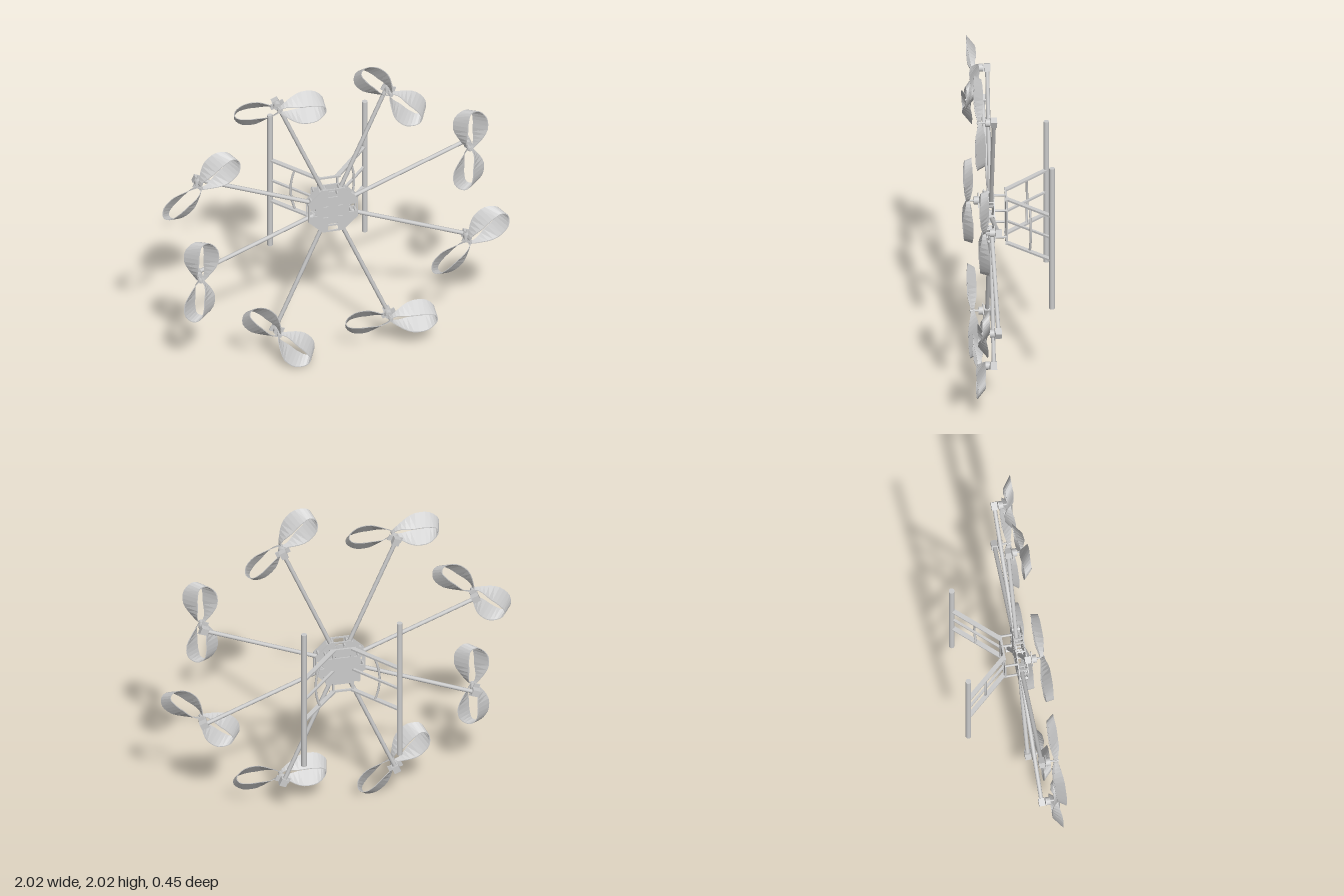
import * as THREE from 'three';

const grey = new THREE.MeshStandardMaterial({ color: 0xcccccc, side: THREE.DoubleSide });
const flat = new THREE.MeshStandardMaterial({ color: 0xcccccc, side: THREE.DoubleSide, flatShading: true });

function add(parent, name, geo, x = 0, y = 0, z = 0, mat = flat) {
  const m = new THREE.Mesh(geo, mat);
  m.name = name;
  m.position.set(x, y, z);
  parent.add(m);
  return m;
}
const box = (w, h, d) => new THREE.BoxGeometry(w, h, d);
const cyl = (r, len, n = 16) => new THREE.CylinderGeometry(r, r, len, n);
// cylinder whose axis runs along z
const cylZ = (r, len, n = 16) => cyl(r, len, n).rotateX(Math.PI / 2);

// Octagonal plate with rectangular windows
function plateGeometry(depth) {
  const R = 0.145 / Math.cos(Math.PI / 8), shape = new THREE.Shape();
  for (let i = 0; i < 8; i++) {
    const a = Math.PI / 8 + i * Math.PI / 4;
    shape[i ? 'lineTo' : 'moveTo'](R * Math.cos(a), R * Math.sin(a));
  }
  const hole = (x, y, w, h) => {
    const p = new THREE.Path();
    p.moveTo(x - w / 2, y - h / 2);
    p.lineTo(x - w / 2, y + h / 2);
    p.lineTo(x + w / 2, y + h / 2);
    p.lineTo(x + w / 2, y - h / 2);
    shape.holes.push(p);
  };
  for (const s of [-1, 1]) {
    hole(0, s * 0.113, 0.058, 0.045);
    hole(s * 0.113, 0, 0.045, 0.055);
    for (const t of [-1, 1]) hole(s * 0.042, t * 0.037, 0.03, 0.018);
  }
  return new THREE.ExtrudeGeometry(shape, { depth, bevelEnabled: false });
}

// Ribbon loop of one propeller blade, reaching along +x from the hub
function bladeGeometry() {
  const N = 28, pos = [], idx = [], L = 0.262;
  for (let i = 0; i <= N; i++) {
    const t = (i / N) * Math.PI * 2;
    const k = (1 - Math.cos(t)) / 2;
    const skew = 0.004 + 0.032 * THREE.MathUtils.smoothstep(k, 0, 0.55) * (1 - 0.35 * THREE.MathUtils.smoothstep(k, 0.75, 1));
    const halfZ = 0.01 + 0.016 * THREE.MathUtils.smoothstep(k, 0, 0.4) - 0.005 * THREE.MathUtils.smoothstep(k, 0.75, 1);
    const width = 0.068 * Math.sin(t) * (0.62 + 0.42 * k);
    // four corners: outer front, outer back, inner back, inner front
    for (const [e, d] of [[-1, 1], [1, 1], [1, -1], [-1, -1]]) {
      const th = d * 0.0025;
      pos.push(L * k - 0.006 * e * k - th * Math.cos(t), width + e * skew + th * Math.sin(t), -e * halfZ);
    }
  }
  for (let i = 0; i < N; i++) for (let j = 0; j < 4; j++) {
    const a = i * 4 + j, b = i * 4 + (j + 1) % 4;
    idx.push(a, b, a + 4, b, b + 4, a + 4);
  }
  const g = new THREE.BufferGeometry();
  g.setAttribute('position', new THREE.Float32BufferAttribute(pos, 3));
  g.setIndex(idx);
  g.computeVertexNormals();
  return g;
}

export function createModel() {
  const model = new THREE.Group();
  model.name = 'multirotor';
  const body = new THREE.Group();
  body.name = 'body';
  body.position.y = 1;
  model.add(body);

  // Hub plates
  const plate = plateGeometry(0.006);
  add(body, 'topPlate', plate, 0, 0, 0.15);
  add(body, 'bottomPlate', plate, 0, 0, 0.098);

  // Eight arms, each with clamp, motor and propeller
  const blade = bladeGeometry(), R = 0.845;
  for (let i = 0; i < 8; i++) {
    const arm = new THREE.Group();
    arm.name = 'arm';
    arm.rotation.z = Math.PI / 8 + i * Math.PI / 4;
    body.add(arm);
    add(arm, 'armTube', cyl(0.012, 0.755, 12).rotateZ(Math.PI / 2), 0.4775, 0, 0.117, grey);
    for (const r of [0.108, 0.14]) {
      for (const s of [-1, 1]) add(arm, 'armClamp', box(0.012, 0.009, 0.046), r, s * 0.016, 0.127);
      add(arm, 'clampBridge', box(0.012, 0.04, 0.008), r, 0, 0.134);
    }
    add(arm, 'motorMount', box(0.045, 0.04, 0.035), R, 0, 0.117);
    add(arm, 'motorPlate', box(0.035, 0.085, 0.005), R, 0, 0.14);
    add(arm, 'motor', cylZ(0.023, 0.028), R, 0, 0.152, grey);
    add(arm, 'motorShaft', cylZ(0.006, 0.06, 10), R, 0, 0.185, grey);
    const prop = new THREE.Group();
    prop.name = 'propeller';
    prop.position.set(R, 0, 0.199);
    prop.rotation.z = THREE.MathUtils.degToRad(65.5);
    arm.add(prop);
    add(prop, 'propellerHub', cylZ(0.012, 0.024, 12), 0, 0, 0, grey);
    for (const a of [0, Math.PI]) add(prop, 'bladeLoop', blade).rotation.z = a;
  }

  // Payload plate on four standoffs
  add(body, 'payloadPlate', box(0.2, 0.17, 0.006), 0, 0, 0.03);
  for (const s of [-1, 1]) for (const t of [-1, 1])
    add(body, 'standoff', cylZ(0.007, 0.075, 10), s * 0.09, t * 0.085, 0.065, grey);

  // Landing gear frame
  for (const t of [-1, 1]) add(body, 'crossBar', box(0.15, 0.011, 0.011), 0, t * 0.14, 0.03);
  for (const s of [-1, 1]) {
    const gear = new THREE.Group();
    gear.name = 'landingGear';
    body.add(gear);
    add(gear, 'rootBar', box(0.012, 0.29, 0.012), s * 0.055, 0, 0.028);
    const legAngle = Math.atan2(0.245, 0.22);
    for (const y of [-0.14, 0, 0.14]) {
      const leg = add(gear, 'leg', box(0.325, 0.011, y ? 0.026 : 0.014), s * 0.163, y, -0.092);
      leg.rotation.y = s * legAngle;
    }
    const bow = new THREE.QuadraticBezierCurve3(
      new THREE.Vector3(s * 0.158, 0.14, -0.095),
      new THREE.Vector3(s * 0.21, 0, -0.105),
      new THREE.Vector3(s * 0.158, -0.14, -0.095));
    add(gear, 'bowedBrace', new THREE.TubeGeometry(bow, 12, 0.007, 8), 0, 0, 0, grey);
    add(gear, 'skidRail', cyl(0.016, 0.9), s * 0.275, 0, -0.214, grey);
  }
  return model;
}
